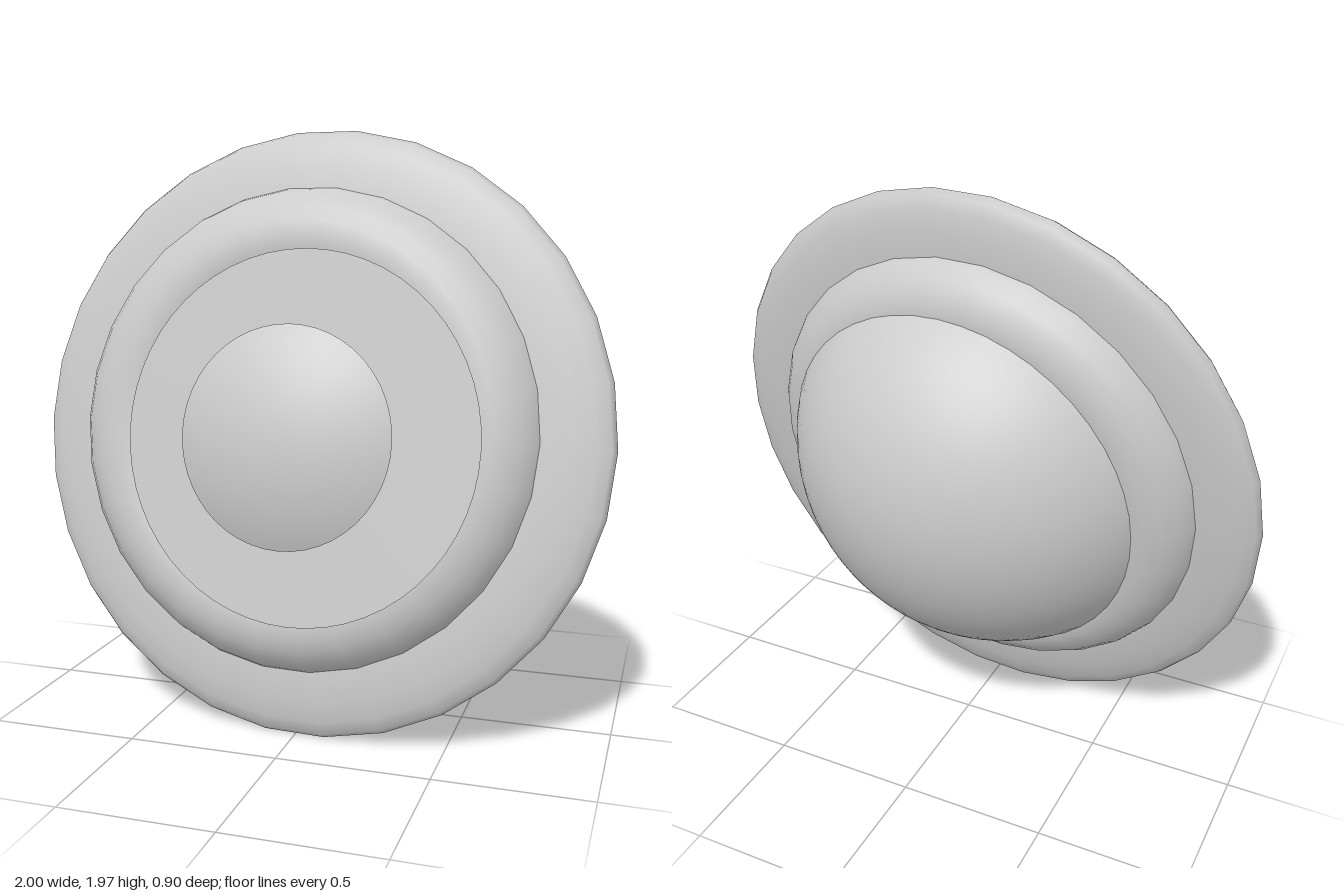
import * as THREE from 'three';

// Shared tilted axis of the saucer, pointing out of its front
const AXIS = new THREE.Vector3(-0.078, 0.168, 1).normalize();
const FRONT = new THREE.Vector3(0, 0, 1);

export function createModel() {
  const model = new THREE.Group();
  model.name = 'saucer';
  const material = new THREE.MeshStandardMaterial({ color: 0xcccccc, side: THREE.DoubleSide });

  // Places a part built around +z on the tilted axis
  function add(name, geometry, x, y, z) {
    const mesh = new THREE.Mesh(geometry, material);
    mesh.name = name;
    mesh.quaternion.setFromUnitVectors(FRONT, AXIS);
    mesh.position.set(x, y, z);
    model.add(mesh);
    return mesh;
  }

  // Spherical cap whose pole points along +z, centred on its sphere
  function cap(radius, angle) {
    return new THREE.SphereGeometry(radius, 48, 20, 0, Math.PI * 2, 0, angle).rotateX(Math.PI / 2);
  }

  // Wide flat rim: a ring with a flattened oval section
  const rim = new THREE.TorusGeometry(0.72, 0.283, 20, 30);
  rim.scale(1, 1, 0.255);
  add('outerRim', rim, 0, 1, 0.13);

  // Thick round ring
  add('innerRing', new THREE.TorusGeometry(0.623, 0.185, 24, 30), -0.012, 1.01, 0.125);

  // Large dome on the back, its edge sunk in the ring
  const dome = cap(0.74, Math.acos(0.27 / 0.74));
  dome.rotateX(Math.PI);
  add('backDome', dome, 0, 1.03, 0.295);

  // Front plate: flat face over a shallow tapering bowl
  add('plateFace', new THREE.CircleGeometry(0.598, 56), 0.02, 1.02, 0.344);
  const bowl = [];
  for (let i = 0; i <= 10; i++) {
    const a = (i / 10) * Math.PI / 2;
    bowl.push(new THREE.Vector2(0.598 * Math.sin(a), -0.16 * Math.cos(a)));
  }
  add('plateBowl', new THREE.LatheGeometry(bowl, 56).rotateX(Math.PI / 2), 0.02, 1.02, 0.344);

  // Low bulge in the middle of the plate
  const bulgeRadius = 0.765, bulgeDepth = 0.675;
  const centre = new THREE.Vector3(-0.02, 1.02, 0.347).addScaledVector(AXIS, -bulgeDepth);
  add('frontBulge', cap(bulgeRadius, Math.acos(bulgeDepth / bulgeRadius)), centre.x, centre.y, centre.z);

  return model;
}
